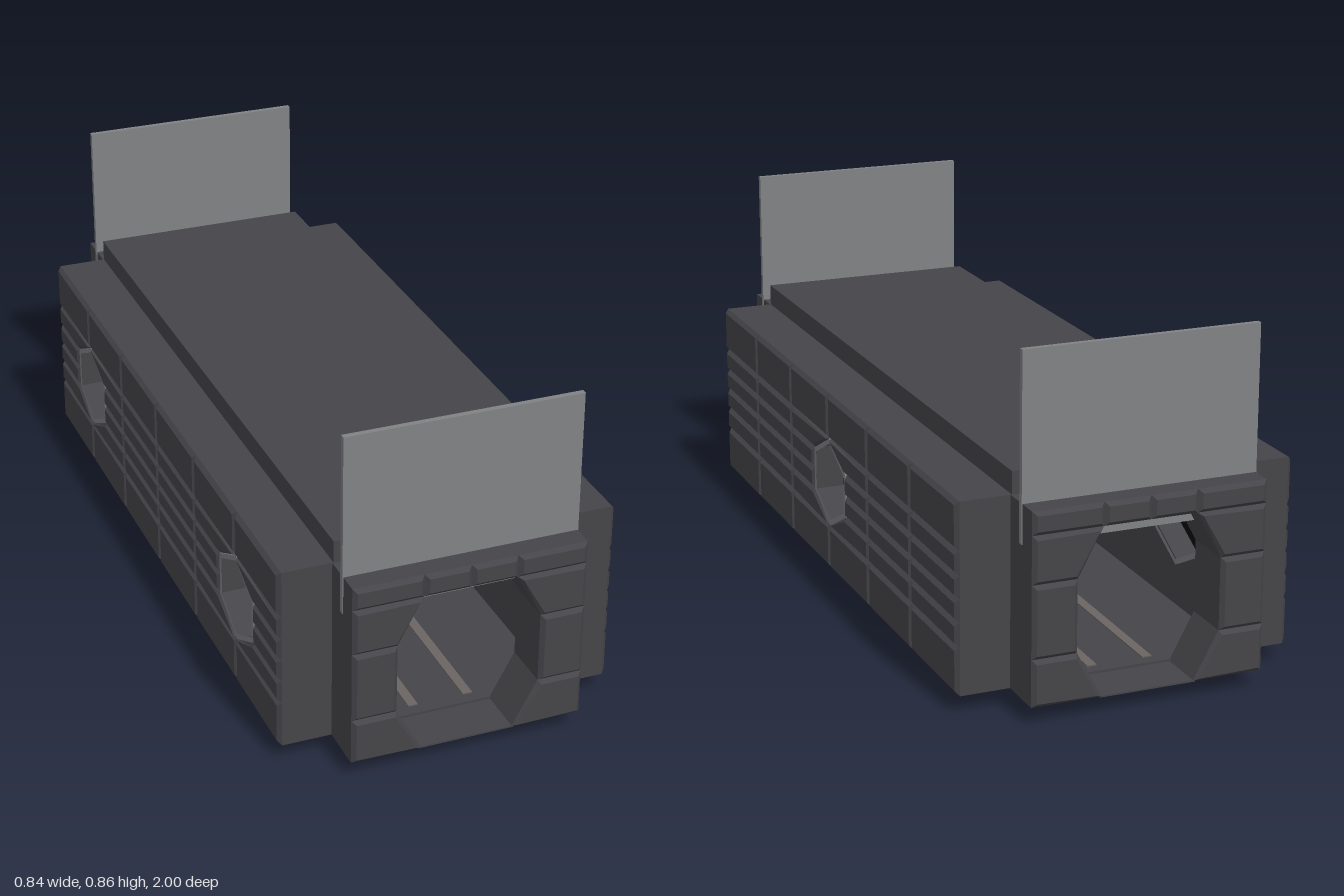
import * as THREE from 'three';

const mat = (name, color, extra = {}) => Object.assign(new THREE.MeshStandardMaterial({ color, ...extra }), { name });

export function createModel() {
  const hull = mat('hull', 0x454448);
  const metal = mat('metal', 0x808284);
  const glass = mat('darkGlass', 0x0a0a0b);
  const teal = mat('tealLight', 0x1f8a8a);
  const grate = mat('floorGrate', 0x6a6462);
  const model = new THREE.Group();
  model.name = 'corridorModule';

  const add = (parent, name, geo, material, x = 0, y = 0, z = 0) => {
    const m = new THREE.Mesh(geo, material);
    m.name = name;
    m.position.set(x, y, z);
    parent.add(m);
    return m;
  };
  const box = (parent, name, material, x0, x1, y0, y1, z0, z1) =>
    add(parent, name, new THREE.BoxGeometry(x1 - x0, y1 - y0, z1 - z0), material,
      (x0 + x1) / 2, (y0 + y1) / 2, (z0 + z1) / 2);
  const outline = pts => new THREE.Shape(pts.map(p => new THREE.Vector2(p[0], p[1])));
  const slab = (shape, depth) => new THREE.ExtrudeGeometry(shape, { depth, bevelEnabled: false });
  // Armour panel with chamfered edges, its face at local z = front
  const BEVEL = 0.01;
  const panel = (parent, pts, front) => add(parent, 'armourPanel',
    new THREE.ExtrudeGeometry(outline(pts), {
      depth: 0.002, bevelThickness: BEVEL, bevelSize: BEVEL, bevelOffset: -BEVEL, bevelSegments: 1,
    }), hull, 0, 0, front - BEVEL - 0.002);

  const L = 0.87, BOTTOM = 0.045, TOP = 0.51, INNER = 0.28;
  const rows = [BOTTOM, 0.162, 0.222, 0.278, 0.334, 0.393, TOP];
  const cols = [-L, -0.58, -0.29, 0, 0.29, 0.58, L];
  const HEX = 0.118, MID = 0.278;

  // Hexagon whose corners meet the panel rows
  const hexPts = (u, s = 1) => [[0, rows[5]], [HEX, rows[4]], [HEX, rows[2]], [0, rows[1]], [-HEX, rows[2]], [-HEX, rows[4]]]
    .map(([a, y]) => [u + a * s, MID + (y - MID) * s]);
  const hexHalfWidth = i => (i === 1 || i === 5 || i === 0 || i === 6 ? 0 : HEX);

  // Side wall: base slab with window holes, chamfered panels, window frames
  const side = (name, turn, windows) => {
    const g = new THREE.Group();
    g.name = name;
    g.rotation.y = turn;
    model.add(g);
    const wall = outline([[-L, BOTTOM], [L, BOTTOM], [L, TOP], [-L, TOP]]);
    windows.forEach(u => wall.holes.push(outline(hexPts(u))));
    add(g, 'wall', slab(wall, 0.41 - INNER), hull, 0, 0, INNER);
    for (let c = 0; c < 6; c++) {
      for (let r = 0; r < 6; r++) {
        const a = windows.includes(cols[c]) ? 1 : 0, b = windows.includes(cols[c + 1]) ? 1 : 0;
        const w0 = hexHalfWidth(r), w1 = hexHalfWidth(r + 1);
        panel(g, [
          [cols[c] + a * w0, rows[r]], [cols[c + 1] - b * w0, rows[r]],
          [cols[c + 1] - b * w1, rows[r + 1]], [cols[c] + a * w1, rows[r + 1]],
        ], 0.42);
      }
    }
    windows.forEach(u => {
      const ring = outline(hexPts(u));
      ring.holes.push(outline(hexPts(u, 0.88)));
      add(g, 'windowFrame', slab(ring, 0.145), metal, 0, 0, 0.27);
      add(g, 'windowPane', slab(outline(hexPts(u, 0.9)), 0.008), glass, 0, 0, 0.335);
    });
  };
  side('leftSide', Math.PI / 2, [0]);
  side('rightSide', -Math.PI / 2, [-0.58, 0.58]);

  // Roof and floor
  box(model, 'roof', hull, -0.285, 0.285, 0.5, 0.565, -L, L);
  box(model, 'floor', hull, -0.285, 0.285, BOTTOM, 0.052, -L, L);
  box(model, 'bellyPlate', hull, -0.235, 0.235, 0.042, BOTTOM, -L, L);
  box(model, 'bellyStrip', hull, -0.175, 0.175, 0.039, 0.042, -0.75, 0.75);

  // Hollow rail under the floor
  const rail = outline([[-0.057, 0.001], [0.057, 0.001], [0.057, 0.043], [-0.057, 0.043]]);
  rail.holes.push(outline([[-0.054, 0.004], [0.054, 0.004], [0.054, 0.039], [-0.054, 0.039]]));
  add(model, 'underRail', slab(rail, 2 * L), metal, 0, 0, -L);

  // Interior floor gratings and ceiling lights
  for (const s of [-1, 1]) {
    box(model, 'floorStrip', grate, s * 0.07 - 0.012, s * 0.07 + 0.012, 0.05, 0.055, -0.84, 0.84);
    box(model, 'ceilingLight', teal, s * 0.15 - 0.04, s * 0.15 + 0.04, 0.493, 0.501, -0.84, 0.84);
  }

  // End portals: arch, chamfered face panels and raised door, one at each end
  const W = 0.288;
  const arch = [[0.115, BOTTOM], [0.177, 0.16], [0.177, 0.337], [0.115, 0.453]];
  const [a, b, c, d] = arch;
  const portalPanels = [
    [a, [W, a[1]], [W, b[1]], b],
    [b, [W, b[1]], [W, c[1]], c],
    [c, [W, c[1]], [W, d[1]], d],
    [d, [W, d[1]], [W, TOP], [d[0], TOP]],
    [[0, d[1]], d, [d[0], TOP], [0, TOP]],
  ];
  const mirror = pts => pts.map(([x, y]) => [-x, y]).reverse();
  const archShape = outline([...arch, ...mirror(arch), [-W, BOTTOM], [-W, TOP], [W, TOP], [W, BOTTOM]]);
  for (const [name, turn] of [['frontPortal', 0], ['backPortal', Math.PI]]) {
    const g = new THREE.Group();
    g.name = name;
    g.rotation.y = turn;
    model.add(g);
    add(g, 'arch', slab(archShape, 0.125), hull, 0, 0, 0.865);
    portalPanels.forEach(p => {
      panel(g, p, 1);
      panel(g, mirror(p), 1);
    });
    box(g, 'threshold', hull, -0.12, 0.12, 0.042, 0.046, 0.865, 0.99);
    box(g, 'raisedDoor', metal, -0.29, 0.29, 0.415, 0.863, 0.923, 0.937);
  }
  return model;
}
